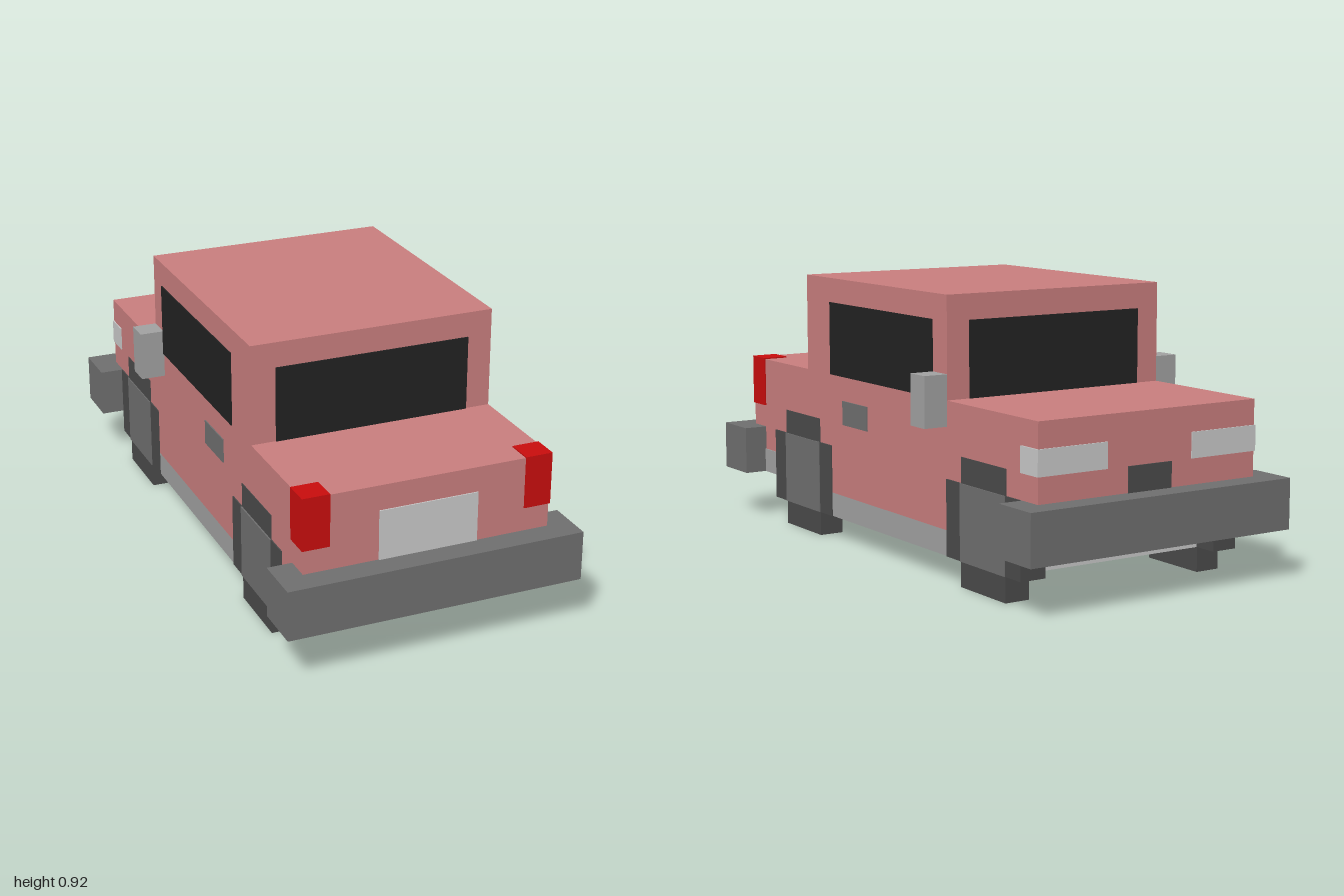
import * as THREE from 'three';

const mat = (name, color) => {
  const m = new THREE.MeshStandardMaterial({ color });
  m.name = name;
  return m;
};

export function createModel() {
  const car = new THREE.Group();
  car.name = 'car';
  const paint = mat('dustyPinkPaint', 0xc97e7e);
  const glass = mat('blackGlass', 0x222222);
  const red = mat('redLight', 0xc90d0d);
  const pale = mat('paleGrey', 0xc9c9c9);
  const silver = mat('silverGrey', 0xa1a1a1);
  const grey = mat('bumperGrey', 0x6f6f6f);
  const rubber = mat('darkRubber', 0x4a4a4a);

  const U = 1 / 12; // everything sits on a grid of twelfths
  const T = 0.004;  // how far thin details stand proud

  // Box from min/max corners in grid units, optionally swollen by g (in world units) per axis
  const box = (name, m, [x0, x1], [y0, y1], [z0, z1], g = [0, 0, 0]) => {
    const mesh = new THREE.Mesh(
      new THREE.BoxGeometry((x1 - x0) * U + 2 * g[0], (y1 - y0) * U + 2 * g[1], (z1 - z0) * U + 2 * g[2]), m);
    mesh.position.set((x0 + x1) / 2 * U, (y0 + y1) / 2 * U, (z0 + z1) / 2 * U);
    mesh.name = name;
    car.add(mesh);
  };
  // Thin plates lying on a face at x or z
  const sidePlate = (name, m, s, ys, zs) => box(name, m, [s * 5, s * 5], ys, zs, [T, 0, 0]);
  const endPlate = (name, m, xs, ys, z) => box(name, m, xs, ys, [z, z], [0, 0, T]);

  // Body shell
  box('lowerBody', paint, [-5, 5], [2, 7], [-11, 11]);
  box('cabin', paint, [-5, 5], [7, 11], [-5, 6]);
  box('chassis', pale, [-4, 4], [1, 2], [-9, 9]);
  box('bodyUnderside', silver, [-5, 5], [2, 2], [-10, 10], [-0.002, 0.002, 0]);
  for (const z of [-11, 11]) box('bumper', grey, [-6, 6], [2, 4], [z - 1, z + 1]);

  // End windows, grille and number panel
  endPlate('windowEnd', glass, [-4, 4], [7, 10], 6);
  endPlate('windowEnd', glass, [-4, 4], [7, 10], -5);
  endPlate('palePanel', pale, [-2, 2], [4, 6], 11);
  endPlate('darkPanel', rubber, [-1, 1], [4, 5], -11);

  for (const s of [-1, 1]) {
    const span = (a, b) => (s > 0 ? [a, b] : [-b, -a]);

    // Side details
    sidePlate('sideWindow', glass, s, [7, 10], [-4, 4]);
    sidePlate('doorHandle', grey, s, [5, 6], [1, 3]);
    sidePlate('sidePatch', silver, s, [2, 3], [9, 10]);
    box('sill', silver, span(4, 5), [1, 2], [-5, 4]);
    box('mirror', silver, span(5, 6), [6, 8], [-5, -4]);

    // Corner lights wrap round the body edges
    box('redCornerLight', red, span(4, 5), [5, 7], [10, 11], [T, T, T]);
    box('headlight', pale, span(2, 5), [5, 6], [-11, -10], [T, 0, T]);

    // Stepped wheels, nearly flush with the body
    for (const z of [-7.5, 6.5]) {
      box('wheelTall', rubber, span(4, 5), [0, 5], [z - 1.5, z + 1.5], [T / 2, 0, 0]);
      box('wheelWide', rubber, span(4, 5), [1, 4], [z - 2.5, z + 2.5], [T, 0, 0]);
      box('wheelHub', grey, span(5, 5), [1, 4], [z - 1.5, z + 1.5], [2 * T, 0, 0].map((v) => Math.min(v, 0.0049 + T / 2)));
    }
  }
  return car;
}
